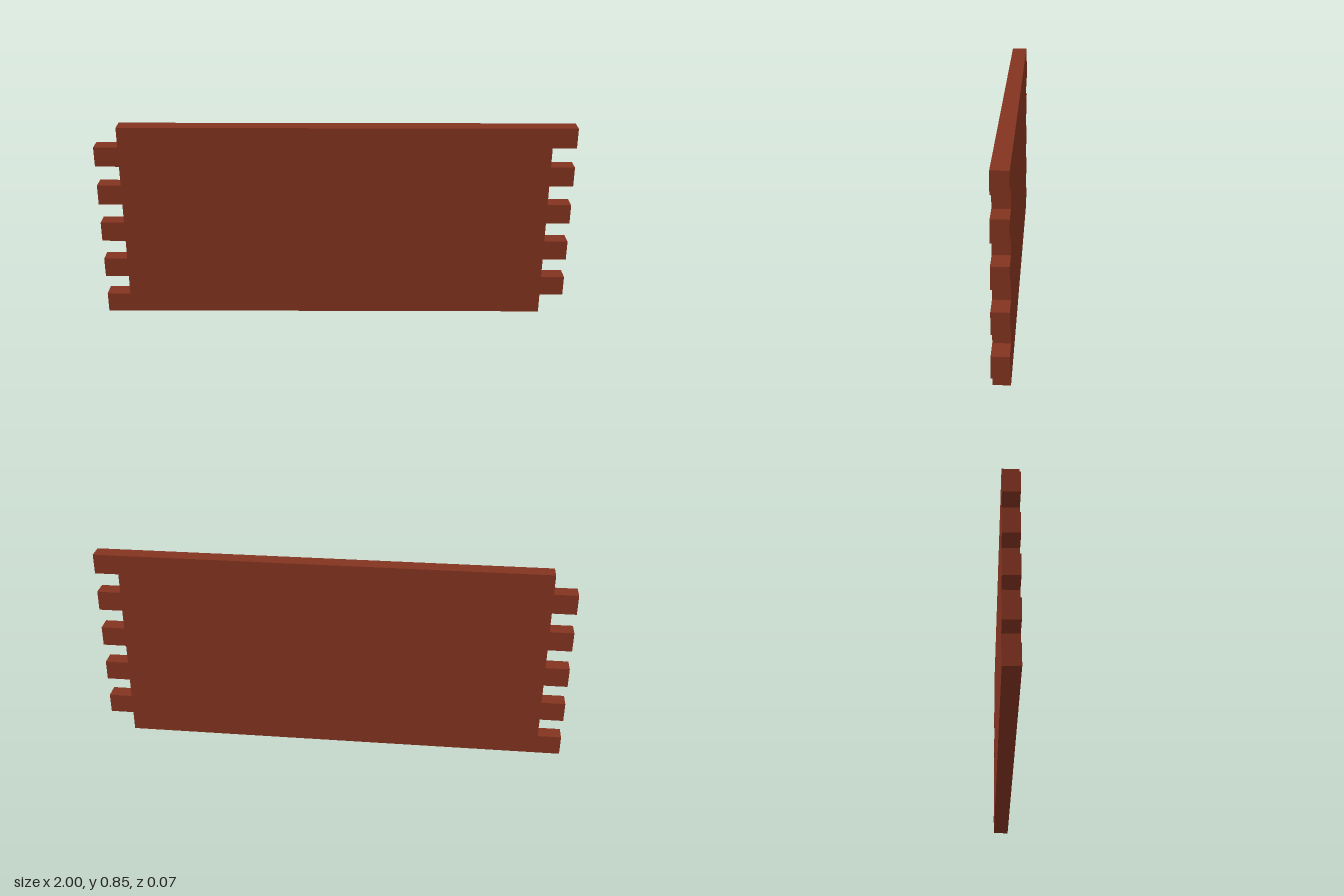
import * as THREE from 'three';

const HEIGHT = 0.853, DEPTH = 0.067;
const OUTER = 1, INNER = 0.9; // x at finger tips and at notch floors
const STEPS = 10; // alternating fingers and notches up each side

export function createModel() {
  const group = new THREE.Group();
  group.name = 'fingerJointedPanel';

  // Outline: up the left (+x) edge, then down the other, fingers staggered
  const step = HEIGHT / STEPS;
  const points = [];
  for (let i = 0; i < STEPS; i++) {
    const x = i % 2 ? OUTER : INNER;
    points.push(new THREE.Vector2(x, i * step), new THREE.Vector2(x, (i + 1) * step));
  }
  for (let i = STEPS - 1; i >= 0; i--) {
    const x = i % 2 ? -INNER : -OUTER;
    points.push(new THREE.Vector2(x, (i + 1) * step), new THREE.Vector2(x, i * step));
  }

  // Flat board cut to that outline
  const geometry = new THREE.ExtrudeGeometry(new THREE.Shape(points), {
    depth: DEPTH,
    bevelEnabled: false,
  });
  geometry.translate(0, 0, -DEPTH / 2);

  const panel = new THREE.Mesh(geometry, new THREE.MeshStandardMaterial({ color: 0x843420 }));
  panel.name = 'panel';
  group.add(panel);
  return group;
}
